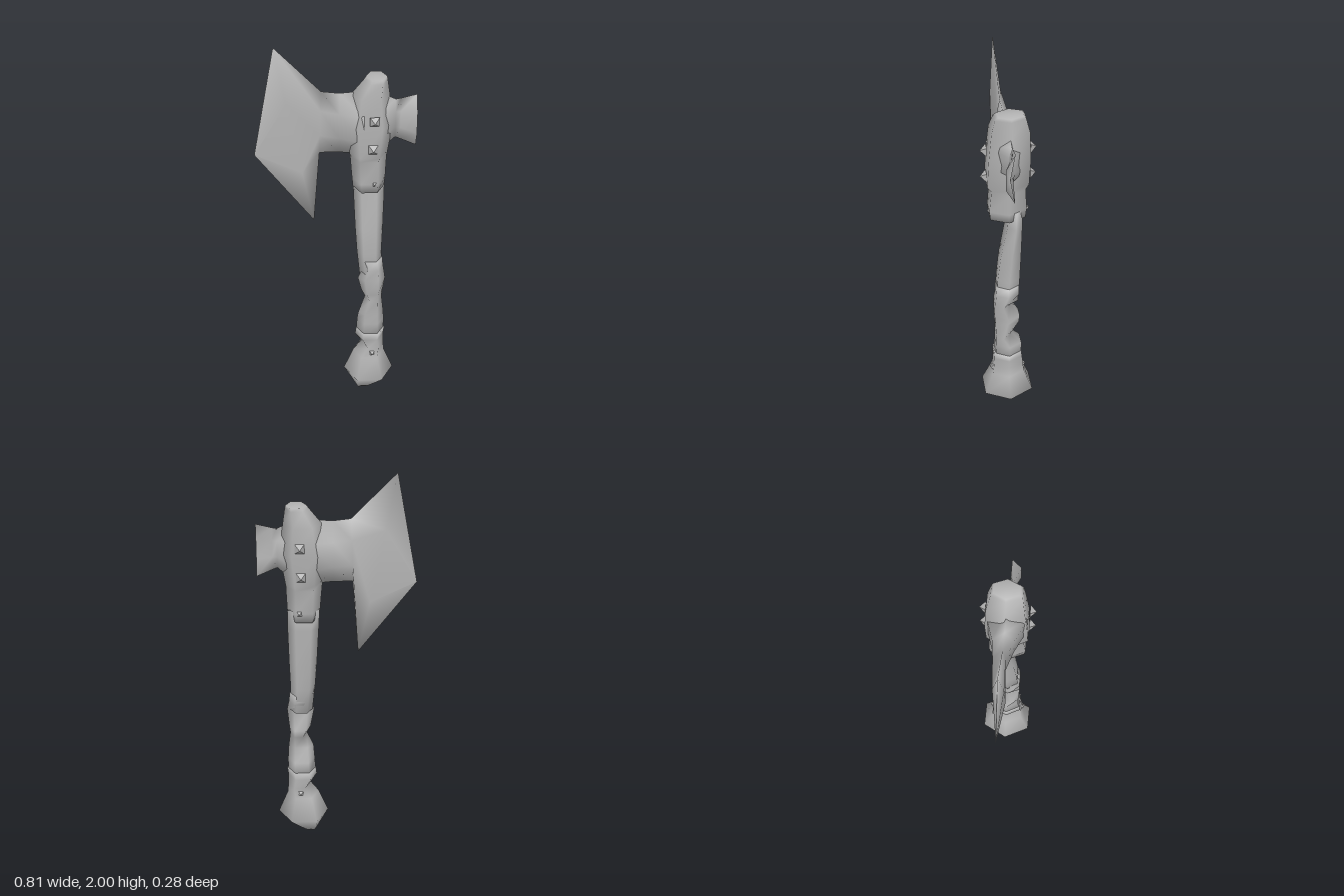
import * as THREE from 'three';

const steel = new THREE.MeshStandardMaterial({ color: 0xb4b4b4 });
steel.name = 'grey';

// Skins a series of equal-length rings, closes both ends, and faces it outward.
function loft(name, rings) {
  const n = rings[0].length, pos = rings.flat(2), tris = [];
  for (let i = 0; i < rings.length - 1; i++) {
    for (let j = 0; j < n; j++) {
      const a = i * n + j, b = i * n + (j + 1) % n;
      tris.push([a, a + n, b], [b, a + n, b + n]);
    }
  }
  [0, rings.length - 1].forEach((r) => {
    const centre = pos.length / 3;
    for (let k = 0; k < 3; k++) pos.push(rings[r].reduce((s, p) => s + p[k], 0) / n);
    for (let j = 0; j < n; j++) {
      const a = r * n + j, b = r * n + (j + 1) % n;
      tris.push(r === 0 ? [centre, a, b] : [centre, b, a]);
    }
  });
  const at = (i) => new THREE.Vector3().fromArray(pos, i * 3);
  const volume = tris.reduce((s, [a, b, c]) => s + at(a).dot(at(b).cross(at(c))), 0);
  if (volume < 0) tris.forEach((t) => t.reverse());
  const geo = new THREE.BufferGeometry();
  geo.setAttribute('position', new THREE.Float32BufferAttribute(pos, 3));
  geo.setIndex(tris.flat());
  geo.computeVertexNormals();
  const mesh = new THREE.Mesh(geo, steel);
  mesh.name = name;
  return mesh;
}

// Horizontal six-sided ring from its extents.
function hexRing([y, x0, x1, z0, z1]) {
  return Array.from({ length: 6 }, (_, i) => {
    const a = i * Math.PI / 3;
    return [(x0 + x1) / 2 + Math.cos(a) * (x1 - x0) / 2, y,
      (z0 + z1) / 2 + Math.sin(a) / Math.sin(Math.PI / 3) * (z1 - z0) / 2];
  });
}

// Upright section: sharp top and bottom on the centre plane, two points on each face.
function bladeRing([xTop, yTop, xBottom, yBottom, zFront, zBack]) {
  const p = (t, z) => [xTop + (xBottom - xTop) * t, yTop + (yBottom - yTop) * t, z];
  return [p(0, 0), p(0.3, zFront), p(0.7, zFront), p(1, 0), p(0.7, zBack), p(0.3, zBack)];
}

// Small four-sided stud pointing forward (side 1) or back (side -1).
function stud(x, y, z, size, side) {
  const geo = new THREE.ConeGeometry(size * 0.7, size * 0.65, 4).toNonIndexed();
  geo.rotateY(Math.PI / 4);
  geo.rotateX(side * Math.PI / 2);
  geo.computeVertexNormals();
  const mesh = new THREE.Mesh(geo, steel);
  mesh.name = 'stud';
  mesh.position.set(x, y, z * side);
  return mesh;
}

export function createModel() {
  const axe = new THREE.Group();
  axe.name = 'battleAxe';

  // Shaft, leaning slightly back towards the head
  axe.add(loft('shaft', [
    [0.72, 0.13, 0.25, -0.05, 0.06],
    [0.86, 0.115, 0.245, -0.06, 0.055],
    [1.0, 0.105, 0.25, -0.065, 0.04],
    [1.2, 0.095, 0.255, -0.07, 0.005],
    [1.3, 0.09, 0.255, -0.07, 0.0],
  ].map(hexRing)));

  // Grip with uneven wrapping
  axe.add(loft('gripWrap', [
    [0.34, 0.115, 0.265, -0.07, 0.07],
    [0.43, 0.12, 0.265, -0.07, 0.065],
    [0.49, 0.125, 0.26, -0.005, 0.065],
    [0.58, 0.16, 0.25, -0.055, 0.07],
    [0.62, 0.14, 0.255, -0.06, 0.07],
    [0.71, 0.12, 0.265, -0.005, 0.07],
    [0.77, 0.15, 0.255, -0.055, 0.065],
    [0.82, 0.125, 0.25, -0.055, 0.06],
  ].map(hexRing)));

  // Pommel
  axe.add(loft('pommel', [
    [0.005, 0.11, 0.18, -0.06, 0.06],
    [0.03, 0.09, 0.215, -0.085, 0.085],
    [0.1, 0.05, 0.32, -0.13, 0.13],
    [0.22, 0.1, 0.27, -0.085, 0.085],
    [0.28, 0.145, 0.265, -0.08, 0.08],
    [0.33, 0.11, 0.265, -0.075, 0.075],
    [0.37, 0.115, 0.27, -0.07, 0.075],
  ].map(hexRing)));

  // Socket and collar holding the head
  axe.add(loft('socket', [
    [1.25, 0.09, 0.25, -0.085, 0.09],
    [1.3, 0.085, 0.255, -0.09, 0.095],
    [1.42, 0.075, 0.26, -0.085, 0.085],
    [1.45, 0.07, 0.265, -0.1, 0.105],
    [1.6, 0.05, 0.29, -0.105, 0.1],
    [1.75, 0.075, 0.27, -0.1, 0.085],
    [1.83, 0.14, 0.258, -0.08, 0.07],
    [1.845, 0.15, 0.255, -0.07, 0.055],
  ].map(hexRing)));

  // Neck and broad blade, swept to a point at the cutting edge
  axe.add(loft('blade', [
    [0.14, 1.77, 0.14, 1.43, 0.1, -0.1],
    [0.02, 1.76, 0.02, 1.44, 0.045, -0.06],
    [-0.07, 1.77, -0.08, 1.44, 0.015, -0.048],
    [-0.3, 2.0, -0.11, 1.05, 0.024, -0.032],
    [-0.408, 1.43, -0.408, 1.43, 0, 0],
  ].map(bladeRing)));

  // Short flared fin behind the socket
  axe.add(loft('rearFin', [
    [0.2, 1.77, 0.2, 1.43, 0.09, -0.09],
    [0.3, 1.725, 0.3, 1.52, 0.015, -0.015],
    [0.325, 1.73, 0.325, 1.51, 0.012, -0.002],
    [0.405, 1.75, 0.405, 1.475, 0.045, 0.025],
  ].map(bladeRing)));

  // Studs on both faces: head, collar and pommel
  for (const side of [1, -1]) {
    axe.add(stud(0.19, 1.65, 0.122, 0.048, side));
    axe.add(stud(0.185, 1.5, 0.122, 0.048, side));
    axe.add(stud(0.195, 1.3, 0.095, 0.033, side));
    axe.add(stud(0.2, 0.25, 0.088, 0.033, side));
  }
  return axe;
}
